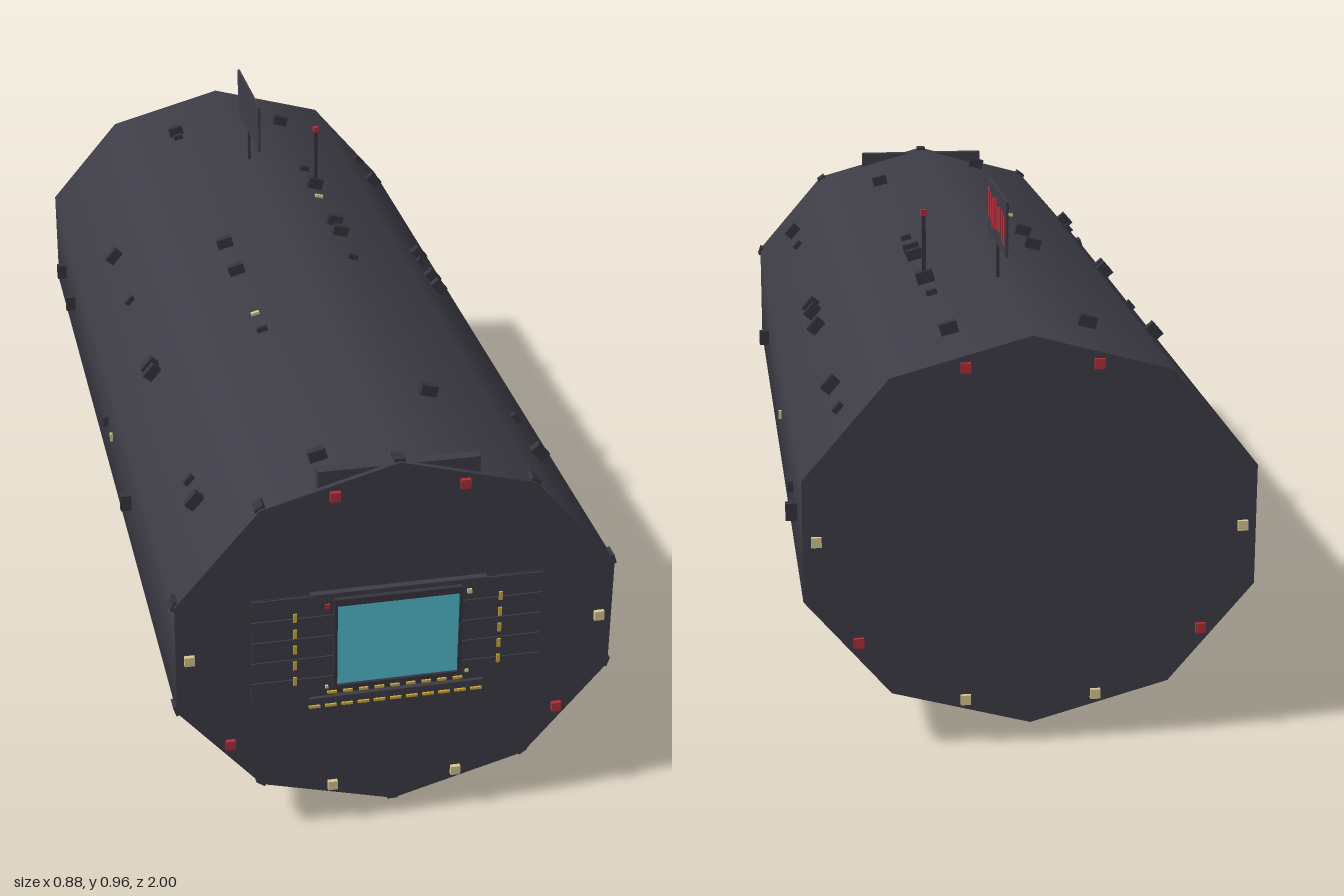
import * as THREE from 'three';

const mat = (name, color) => Object.assign(new THREE.MeshStandardMaterial({ color }), { name });

export function createModel() {
  const root = new THREE.Group();
  root.name = 'container';
  const hull = mat('hull grey', 0x3e3d47);
  const dark = mat('dark grey', 0x35343d);
  const red = mat('signal red', 0xb02e3a);
  const cream = mat('lamp cream', 0xd6c892);
  const yellow = mat('marking yellow', 0xcaa83c);
  const cyan = mat('screen cyan', 0x52c0d3);

  const box = (name, m, w, h, d, x, y, z, parent = root) => {
    const mesh = new THREE.Mesh(new THREE.BoxGeometry(w, h, d), m);
    mesh.name = name;
    mesh.position.set(x, y, z);
    parent.add(mesh);
    return mesh;
  };

  // Ten-sided hull lying along z, smooth around its sides
  const RX = 0.442, RY = 0.374, CY = 0.411, FRONT = 0.985;
  const tube = new THREE.CylinderGeometry(1, 1, 1.98, 10);
  tube.rotateX(-Math.PI / 2);
  tube.scale(RX, RY, 1);
  const body = new THREE.Mesh(tube, hull);
  body.name = 'hull';
  body.position.set(0, CY, -0.005);
  root.add(body);

  // Corner ribs of the front collar
  const corner = (k) => {
    const a = (k * Math.PI) / 5;
    return new THREE.Vector2(RX * Math.sin(a), CY + RY * Math.cos(a));
  };
  for (let k = 0; k < 10; k++) {
    const p = corner(k);
    const rib = box('collarRib', dark, 0.02, 0.02, 0.03, p.x * 0.985, CY + (p.y - CY) * 0.985, 0.965);
    rib.rotation.z = -(k * Math.PI) / 5;
  }
  box('collarTopPlate', hull, 0.305, 0.04, 0.02, 0, 0.756, 0.965);

  // Feet and their pedestals
  for (const z of [0.595, -0.6]) {
    box('foot', hull, 0.486, 0.04, 0.105, 0, 0.02, z);
    box('footPedestal', hull, 0.22, 0.06, 0.09, 0, 0.065, z);
  }

  // Side rails with a short upright guard
  for (const s of [-1, 1]) {
    box('sideRail', hull, 0.06, 0.012, 1.41, s * 0.278, 0.136, -0.025);
    box('sideGuard', hull, 0.018, 0.05, 0.82, s * 0.322, 0.165, 0.265);
    box('guardBracket', hull, 0.05, 0.012, 0.82, s * 0.3, 0.186, 0.265);
  }

  // Fittings on the flat sides: [face, list of z positions]; face 0 is top left, counted clockwise from the front
  const onFace = (name, m, f, z, w, h, d) => {
    const a = corner(f), b = corner(f + 1);
    const g = new THREE.Group();
    g.name = name;
    g.position.set((a.x + b.x) / 2, (a.y + b.y) / 2, z);
    g.rotation.z = Math.atan2(b.y - a.y, b.x - a.x);
    box(name, m, w, h, d, 0, 0, 0, g);
    root.add(g);
  };
  const fittings = [
    [0, [0.67, 0.015, -0.12, -0.18, -0.51, -0.82]],
    [1, [0.72, 0.57, -0.065, -0.12, -0.21, -0.25, -0.71, -0.86]],
    [2, [0.505, -0.665, -0.815]],
    [3, [0.8, 0.71, 0.62, -0.59]],
    [4, [0.3, -0.35]],
    [5, [0.4, -0.2]],
    [6, [0.74, 0.55, -0.3, -0.68]],
    [7, [0.385, 0.025, -0.6, -0.79]],
    [8, [0.775, 0.69, 0.23, 0.2, -0.135, -0.375]],
    [9, [0.88, 0.33, 0.04, -0.105, -0.77, -0.8]],
  ];
  for (const [f, zs] of fittings) {
    zs.forEach((z, i) => {
      const big = i % 3 !== 1;
      onFace('hullFitting', dark, f, z, big ? 0.034 : 0.022, big ? 0.044 : 0.022, big ? 0.016 : 0.01);
    });
  }
  const lamps = [[0, -0.34], [2, -0.165], [3, 0.47], [9, 0.25], [7, 0.1], [5, 0.1]];
  for (const [f, z] of lamps) onFace('hullLamp', cream, f, z, 0.018, 0.012, 0.008);

  // Marker lamps on both ends
  const markers = [[0.122, 0.73, red], [0.395, 0.411, cream], [0.32, 0.212, red], [0.122, 0.09, cream]];
  for (const [x, y, m] of markers)
    for (const s of [-1, 1])
      for (const z of [0.989, -0.998]) box('markerLamp', m, 0.019, 0.019, 0.009, s * x, y, z);

  // Front bay: slatted side panels, framed screen, hood and sill
  for (const s of [-1, 1]) {
    for (let i = 0; i < 5; i++)
      box('baySlat', hull, 0.158, 0.043, 0.008, s * 0.2, 0.322 + i * 0.045, FRONT + 0.002);
    box('screenFrameSide', dark, 0.006, 0.19, 0.014, s * 0.12, 0.412, FRONT + 0.006);
    for (let i = 0; i < 5; i++)
      box('verticalDash', yellow, 0.007, 0.018, 0.003, s * 0.197, 0.342 + i * 0.035, FRONT + 0.008);
    box('frameLampLow', cream, 0.006, 0.006, 0.004, s * 0.136, 0.322, FRONT + 0.008);
    box('frameLampHigh', s < 0 ? red : cream, 0.009, 0.009, 0.004, s * 0.136, 0.5, FRONT + 0.008);
  }
  box('bayBack', dark, 0.56, 0.226, 0.005, 0, 0.412, FRONT);
  box('screen', cyan, 0.236, 0.174, 0.006, 0, 0.412, FRONT + 0.004);
  box('screenFrameTop', dark, 0.246, 0.014, 0.014, 0, 0.507, FRONT + 0.006);
  box('screenFrameBottom', dark, 0.246, 0.006, 0.014, 0, 0.322, FRONT + 0.006);
  box('bayHood', hull, 0.336, 0.008, 0.014, 0, 0.526, FRONT + 0.006);
  box('baySill', hull, 0.336, 0.01, 0.014, 0, 0.296, FRONT + 0.006);
  for (let i = 0; i < 9; i++)
    box('sillDash', yellow, 0.018, 0.005, 0.004, -0.126 + i * 0.0305, 0.31, FRONT + 0.01);
  for (let i = 0; i < 11; i++)
    box('lowerDash', yellow, 0.022, 0.005, 0.004, -0.158 + i * 0.0316, 0.275, FRONT + 0.002);

  // Roof sign on a post, with uneven red bars on its left face
  box('signPost', dark, 0.006, 0.08, 0.006, 0, 0.815, -0.52);
  box('signBoard', hull, 0.005, 0.108, 0.264, 0, 0.907, -0.52);
  const bars = [[0.916, 0.06], [0.91, 0.055], [0.902, 0.062], [0.908, 0.06], [0.912, 0.062],
    [0.906, 0.046], [0.91, 0.05], [0.904, 0.058], [0.9, 0.06]];
  bars.forEach(([y, h], i) => box('signBar', red, 0.002, h, 0.017, 0.003, y, -0.412 - i * 0.0272));

  // Roof antenna with red tip
  onFace('antennaBase', dark, 0, -0.4, 0.035, 0.05, 0.02);
  box('antennaMast', dark, 0.008, 0.14, 0.008, 0.135, 0.825, -0.4);
  box('antennaTip', red, 0.012, 0.012, 0.012, 0.135, 0.894, -0.4);

  return root;
}
